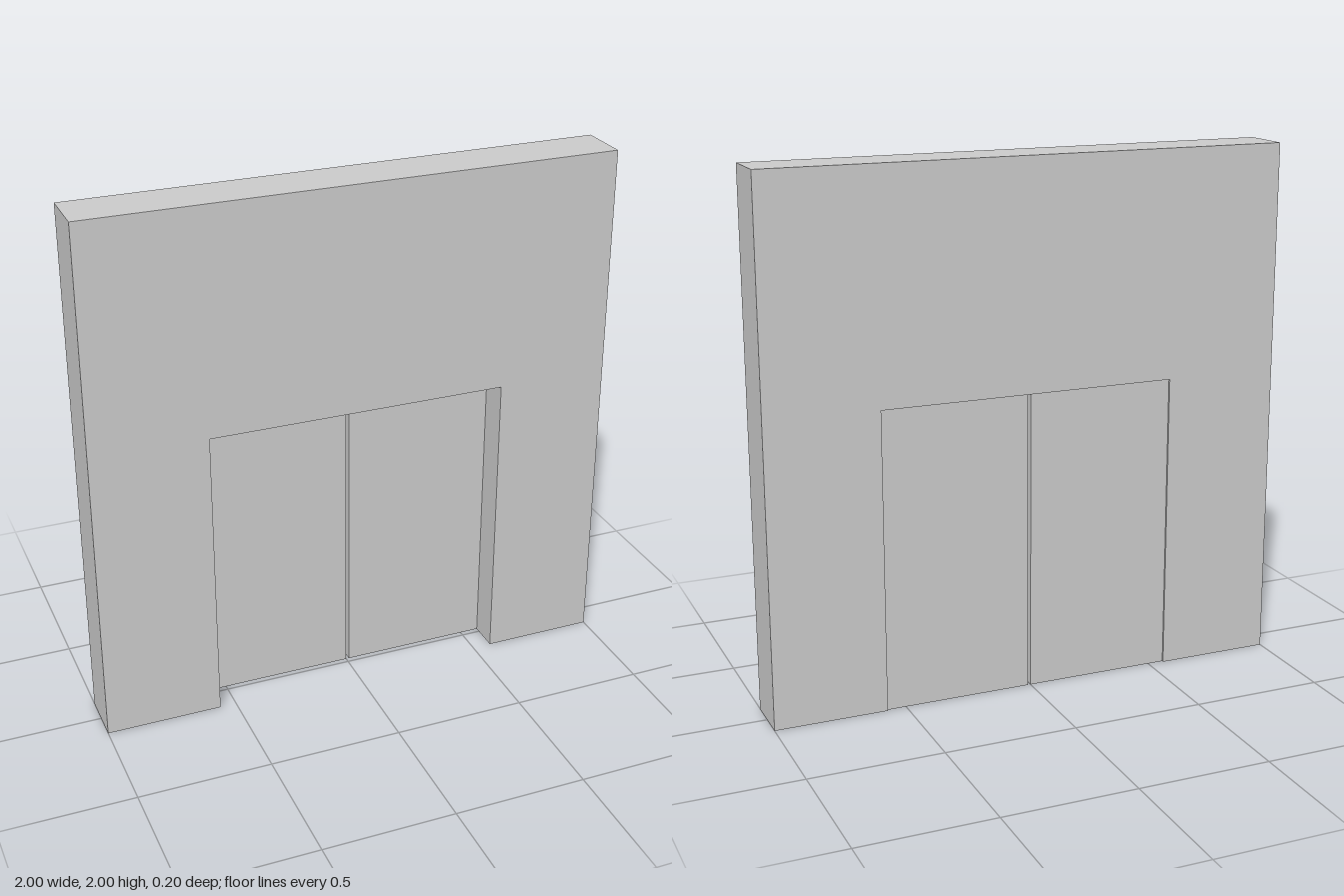
import * as THREE from 'three';

const material = new THREE.MeshStandardMaterial({ color: 0xcccccc, flatShading: true });

// Opening in the wall and the two leaves that close it
const LEFT = 0.573, RIGHT = -0.562, TOP = 1.14;
const MID = (LEFT + RIGHT) / 2, GAP = 0.011;
const DOOR_FRONT = -0.02, DOOR_BACK = -0.092;

function createWall() {
  // Wall outline running around the doorway
  const outline = [
    [-1, 0], [RIGHT, 0], [RIGHT, TOP], [LEFT, TOP],
    [LEFT, 0], [1, 0], [1, 2], [-1, 2],
  ].map(([x, y]) => new THREE.Vector2(x, y));
  const geometry = new THREE.ExtrudeGeometry(new THREE.Shape(outline), {
    depth: 0.2, bevelEnabled: false,
  });
  geometry.translate(0, 0, -0.1);
  const wall = new THREE.Mesh(geometry, material);
  wall.name = 'wall';
  return wall;
}

function createDoor(name, x0, x1) {
  const door = new THREE.Mesh(
    new THREE.BoxGeometry(x1 - x0, TOP, DOOR_FRONT - DOOR_BACK), material);
  door.position.set((x0 + x1) / 2, TOP / 2, (DOOR_FRONT + DOOR_BACK) / 2);
  door.name = name;
  return door;
}

export function createModel() {
  const model = new THREE.Group();
  model.name = 'wallWithDoubleDoor';
  model.add(
    createWall(),
    createDoor('rightDoor', RIGHT, MID - GAP / 2),
    createDoor('leftDoor', MID + GAP / 2, LEFT),
  );
  return model;
}
